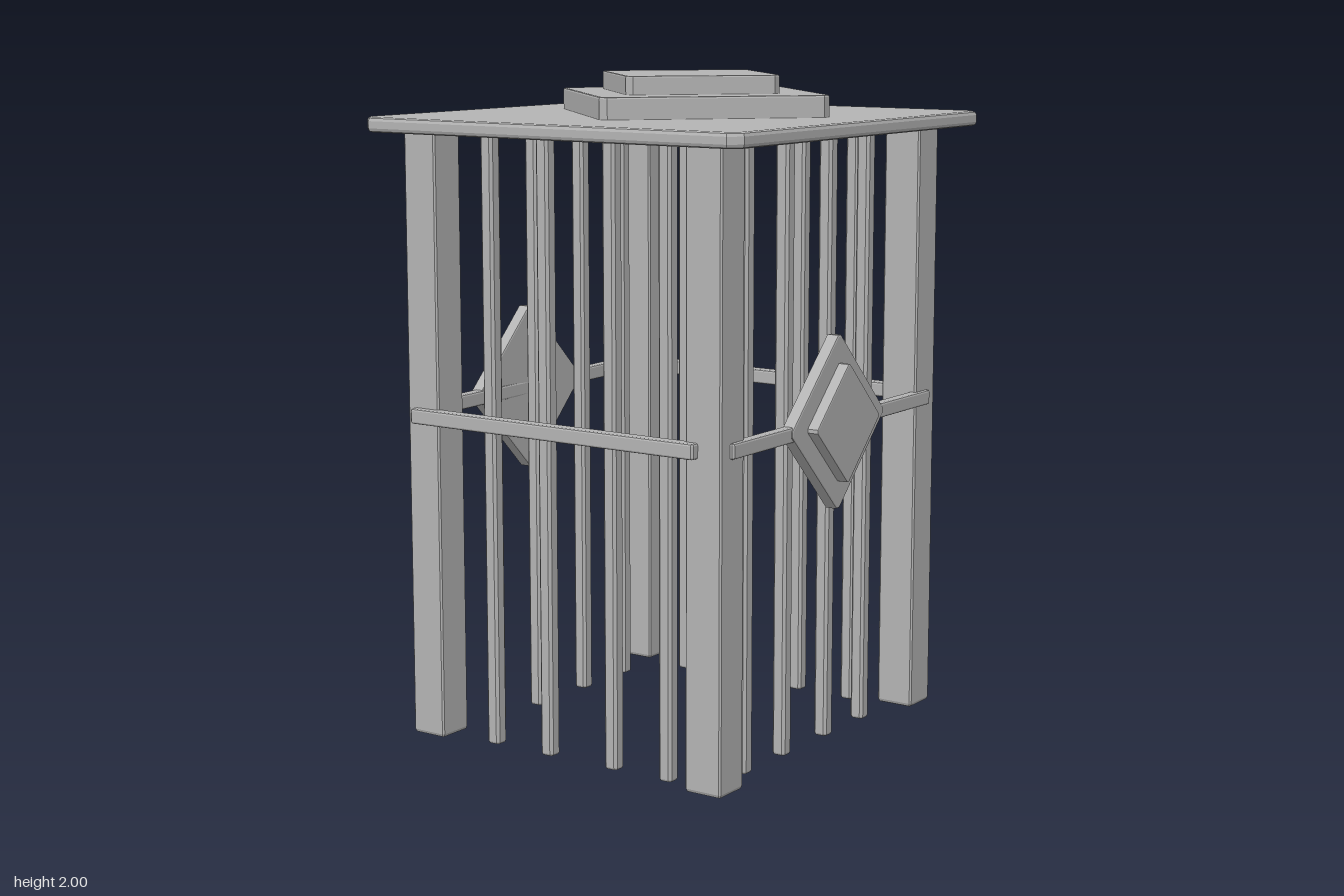
import * as THREE from 'three';

const grey = new THREE.MeshStandardMaterial({ color: 0xb4b4b4 });
grey.name = 'plain grey';

// Polygon outline with each corner cut off by a distance
function cutCorners(points, cut) {
  const out = [];
  points.forEach((p, i) => {
    const a = new THREE.Vector2(...p);
    for (const j of [i + points.length - 1, i + 1]) {
      const b = new THREE.Vector2(...points[j % points.length]);
      out.push(a.clone().add(b.sub(a).setLength(cut)));
    }
  });
  return out;
}

// Bevelled prism: outline in (x, y), extruded along +z from 0 to depth
function prism(points, depth, bevel, cut = bevel) {
  return new THREE.ExtrudeGeometry(new THREE.Shape(cutCorners(points, cut)), {
    depth: depth - 2 * bevel, bevelEnabled: true, bevelThickness: bevel,
    bevelSize: bevel, bevelOffset: -bevel, bevelSegments: 2,
  }).translate(0, 0, bevel);
}

// Upright prism: outline in (x, z), from y0 to y1
function slab(points, y0, y1, bevel, cut) {
  return prism(points.map(([x, z]) => [x, -z]), y1 - y0, bevel, cut)
    .rotateX(-Math.PI / 2).translate(0, y0, 0);
}

const rect = (x0, x1, z0, z1) => [[x0, z1], [x1, z1], [x1, z0], [x0, z0]];
const diamond = (r) => [[r, 0], [0, r], [-r, 0], [0, -r]];

export function createModel() {
  const model = new THREE.Group();
  model.name = 'barredFrame';
  const add = (name, geometry, parent = model) => {
    const mesh = new THREE.Mesh(geometry, grey);
    mesh.name = name;
    parent.add(mesh);
    return mesh;
  };

  // Roof and its two stepped diamonds
  add('roofPlate', slab([[-0.672, 0.667], [0.658, 0.679], [0.668, -0.671], [-0.662, -0.684]], 1.835, 1.88, 0.012, 0.034));
  add('lowerRoofDiamond', slab([[0.02, 0.418], [0.488, -0.077], [0.005, -0.538], [-0.463, -0.04]], 1.87, 1.945, 0.006, 0.02));
  add('upperRoofDiamond', slab([[0.005, 0.268], [0.322, -0.065], [0, -0.378], [-0.318, -0.05]], 1.82, 2.0, 0.005, 0.018));

  // Corner posts
  for (const [x0, x1] of [[-0.563, -0.447], [0.437, 0.557]]) {
    for (const s of [1, -1]) {
      const z = s * 0.541;
      add('cornerPost', slab(rect(x0, x1, z - 0.058, z + 0.058), 0.012, 1.85, 0.012, 0.005));
    }
  }

  // Four thin bars on each side
  const bar = slab(rect(-0.022, 0.022, -0.022, 0.022), 0, 1.85, 0.008);
  for (const x of [-0.314, -0.111, 0.124, 0.317]) {
    for (const z of [0.507, -0.507]) add('thinBar', bar).position.set(x, 0, z);
  }
  for (const z of [0.325, 0.113, -0.124, -0.341]) {
    for (const x of [-0.459, 0.453]) add('thinBar', bar).position.set(x, 0, z);
  }

  // Front and back rails
  add('frontRail', slab(rect(-0.536, 0.48, 0.582, 0.625), 0.975, 1.02, 0.006));
  add('backRail', slab(rect(-0.53, 0.515, -0.63, -0.585), 0.975, 1.02, 0.006));

  // Side rails with stepped diamonds
  for (const [name, side, x, turn] of [['left', 1, 0.533, 0], ['right', -1, 0.567, 0.025]]) {
    const group = new THREE.Group();
    group.name = name + 'SideOrnament';
    const rail = add(name + 'Rail', slab(rect(-0.555, 0.555, 0, 0.036), 0.975, 1.02, 0.006), group);
    rail.rotation.y = turn;
    add(name + 'OuterDiamond', prism(diamond(0.266), 0.04, 0.005, 0.012).translate(0, 1, 0), group);
    add(name + 'InnerDiamond', prism(diamond(0.18), 0.05, 0.004, 0.008).translate(0, 1, 0.024), group);
    group.rotation.y = side * Math.PI / 2;
    group.position.x = side * x;
    model.add(group);
  }

  return model;
}
